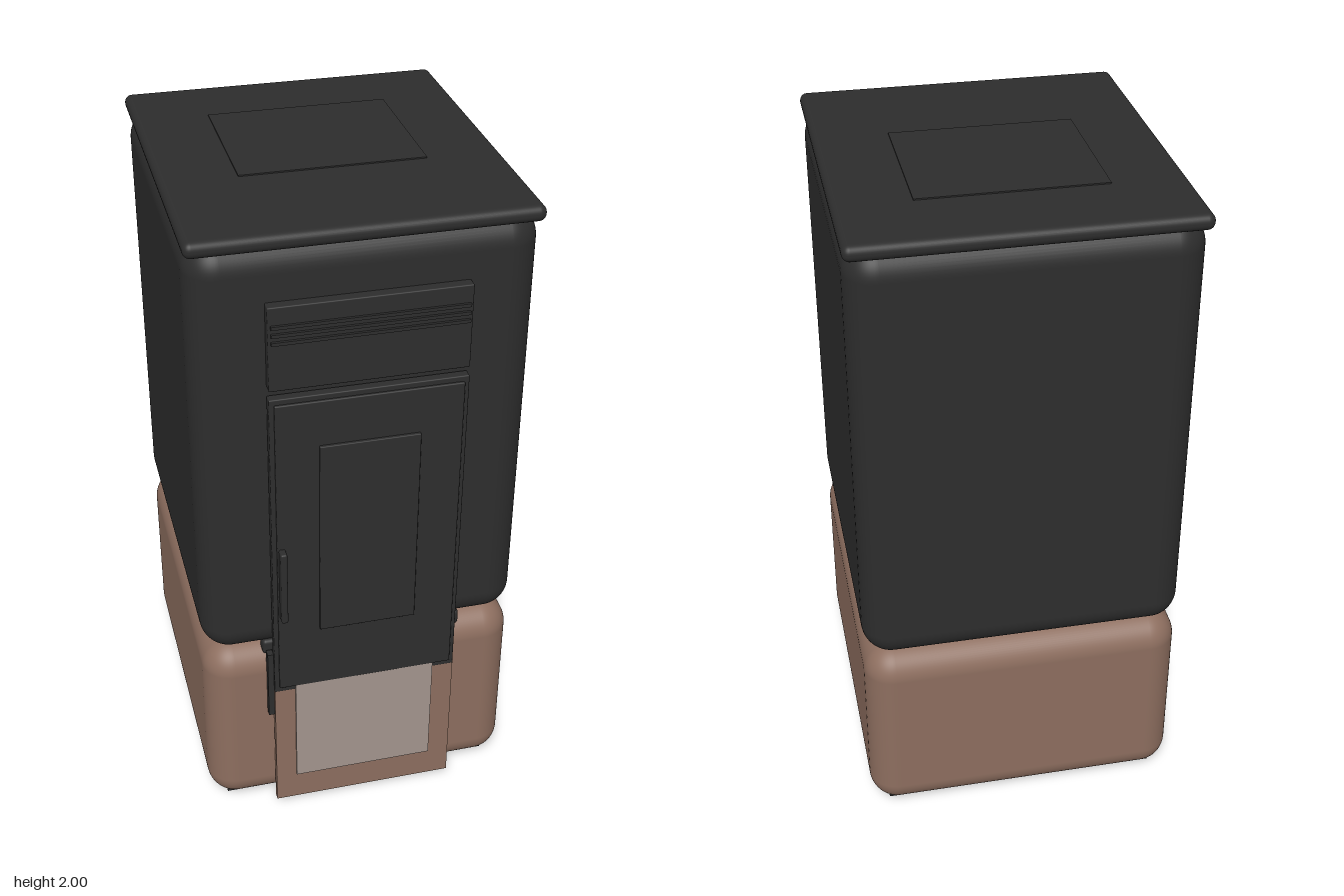
import * as THREE from 'three';
import { RoundedBoxGeometry } from 'three/addons/geometries/RoundedBoxGeometry.js';

function paint(name, color) {
  const m = new THREE.MeshStandardMaterial({ color });
  m.name = name;
  return m;
}

export function createModel() {
  const model = new THREE.Group();
  model.name = 'cabinet';
  const black = paint('charcoal', 0x2d2d2d);
  const brown = paint('brown', 0x8d6e5f);
  const pale = paint('pale grey', 0xa3958e);

  // Box given by its extents on each axis; a radius rounds the edges
  function block(name, mat, [x0, x1], [y0, y1], [z0, z1], radius = 0) {
    const size = [x1 - x0, y1 - y0, z1 - z0];
    const geo = radius
      ? new RoundedBoxGeometry(...size, radius > 0.05 ? 8 : 4, radius)
      : new THREE.BoxGeometry(...size);
    const mesh = new THREE.Mesh(geo, mat);
    mesh.name = name;
    mesh.position.set((x0 + x1) / 2, (y0 + y1) / 2, (z0 + z1) / 2);
    model.add(mesh);
    return mesh;
  }

  // Housing: lower bin, upper body, neck between them, foot plate
  const width = [-0.487, 0.487], depth = [-0.577, 0.509];
  block('lowerBin', brown, width, [0.006, 0.622], depth, 0.09);
  block('upperBody', black, width, [0.62, 1.975], depth, 0.09);
  block('neck', black, [-0.42, 0.42], [0.6, 0.645], [-0.51, 0.44]);
  block('footPlate', black, [-0.43, 0.43], [0, 0.016], [-0.52, 0.452]);

  // Lid and its raised panel
  block('lid', black, [-0.489, 0.489], [1.949, 1.996], [-0.579, 0.511], 0.022);
  block('lidPanel', black, [-0.27, 0.27], [1.99, 2], [-0.333, 0.125]);

  // Vent panel with three slats
  block('ventPanel', black, [-0.283, 0.283], [1.553, 1.808], [0.508, 0.542], 0.004);
  for (const y of [1.702, 1.726, 1.75]) {
    block('ventSlat', black, [-0.275, 0.275], [y - 0.005, y + 0.005], [0.54, 0.55]);
  }

  // Door: frame, leaf, raised panel, handle
  block('doorFrame', black, [-0.284, 0.284], [0.478, 1.527], [0.512, 0.542], 0.004);
  block('doorLeaf', black, [-0.27, 0.27], [0.498, 1.51], [0.535, 0.55], 0.004);
  block('doorPanel', black, [-0.146, 0.146], [0.715, 1.367], [0.545, 0.56], 0.003);
  block('doorHandle', black, [-0.266, -0.246], [0.775, 1.027], [0.545, 0.579], 0.006);

  // Front apron with a pale sheet
  block('apron', brown, [-0.284, 0.284], [0.018, 0.5], [0.518, 0.54]);
  block('apronSheet', pale, [-0.22, 0.216], [0.118, 0.5], [0.539, 0.547]);

  // Hinge bar behind the door and side lever
  block('hingeBar', black, [-0.31, 0.31], [0.598, 0.65], [0.45, 0.5], 0.012);
  block('hingePlate', black, [-0.28, 0.28], [0.54, 0.602], [0.49, 0.516]);
  block('sideLever', black, [-0.302, -0.284], [0.378, 0.62], [0.505, 0.53]);

  return model;
}
